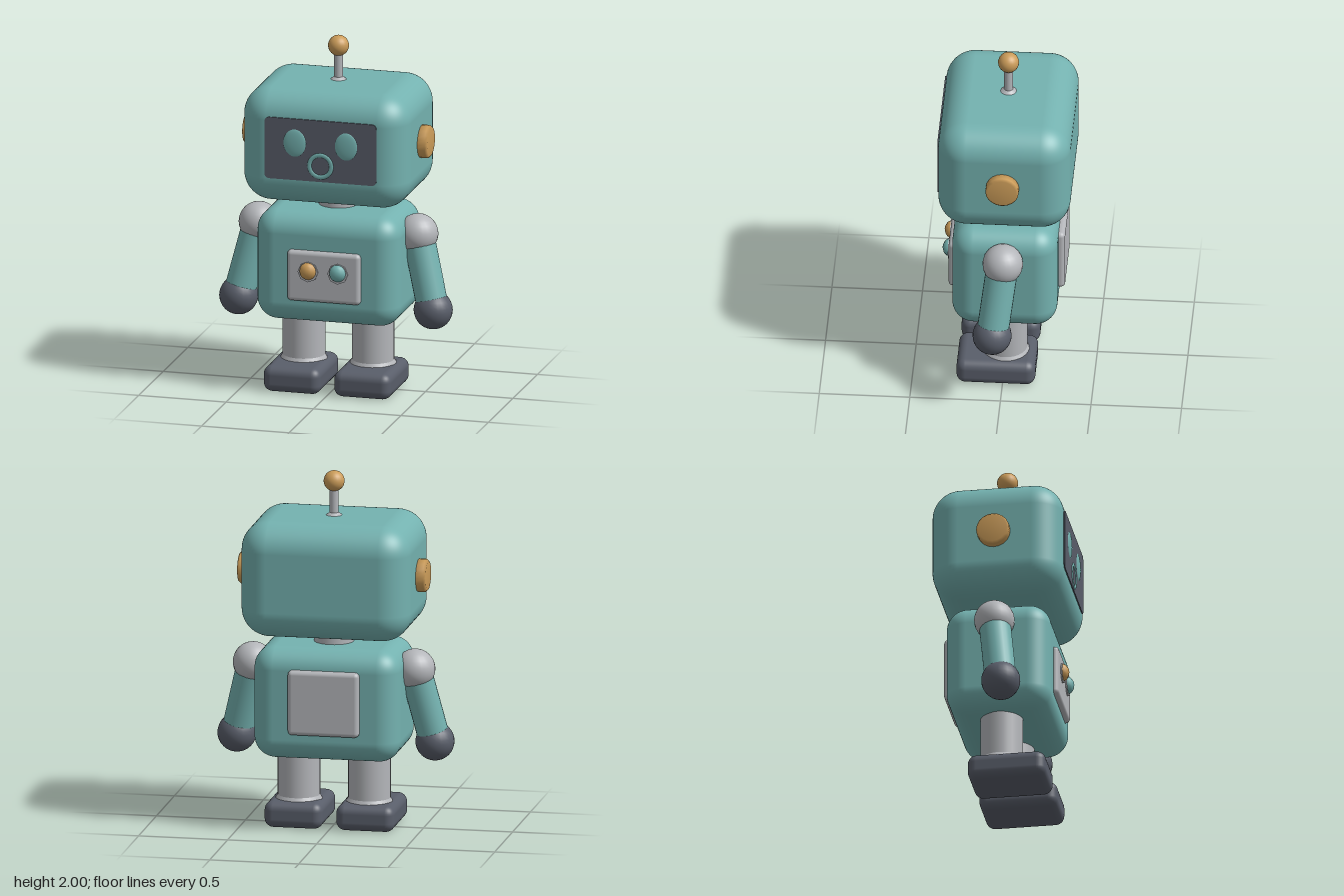
import * as THREE from 'three';
import { RoundedBoxGeometry } from 'three/addons/geometries/RoundedBoxGeometry.js';

const mat = (name, color) => Object.assign(new THREE.MeshStandardMaterial({ color }), { name });

export function createModel() {
  const teal = mat('teal shell', 0x74b2b0);
  const grey = mat('light grey', 0xb4b6ba);
  const dark = mat('dark slate', 0x595e6a);
  const gold = mat('gold', 0xcb9c59);

  const robot = new THREE.Group();
  robot.name = 'robot';
  const add = (name, geometry, material, x, y, z) => {
    const mesh = new THREE.Mesh(geometry, material);
    mesh.name = name;
    mesh.position.set(x, y, z);
    robot.add(mesh);
    return mesh;
  };
  // Rounded box given by its limits on each axis
  const block = (name, material, [x0, x1], [y0, y1], [z0, z1], r, seg = 6) =>
    add(name, new RoundedBoxGeometry(x1 - x0, y1 - y0, z1 - z0, seg, r), material,
      (x0 + x1) / 2, (y0 + y1) / 2, (z0 + z1) / 2);
  const ball = (name, material, r, x, y, z) =>
    add(name, new THREE.SphereGeometry(r, 24, 16), material, x, y, z);
  const tube = (name, material, r0, r1, y0, y1, x, z) =>
    add(name, new THREE.CylinderGeometry(r1, r0, y1 - y0, 28), material, x, (y0 + y1) / 2, z);
  const axisZ = -0.01;

  // Head, torso and neck
  block('head', teal, [-0.475, 0.475], [1.1, 1.75], [-0.375, 0.355], 0.16, 8);
  block('torso', teal, [-0.41, 0.41], [0.41, 1.04], [-0.3, 0.28], 0.12, 8);
  tube('neck', grey, 0.11, 0.11, 1.0, 1.14, 0, axisZ);

  // Face screen
  const w = 0.32, h = 0.175, r = 0.03;
  const s = new THREE.Shape();
  s.moveTo(-w + r, -h);
  s.lineTo(w - r, -h).quadraticCurveTo(w, -h, w, -h + r);
  s.lineTo(w, h - r).quadraticCurveTo(w, h, w - r, h);
  s.lineTo(-w + r, h).quadraticCurveTo(-w, h, -w, h - r);
  s.lineTo(-w, -h + r).quadraticCurveTo(-w, -h, -w + r, -h);
  add('faceScreen', new THREE.ExtrudeGeometry(s, { depth: 0.009, bevelEnabled: false }),
    dark, 0, 1.435, 0.352);

  // Ring mouth
  add('mouth', new THREE.TorusGeometry(0.063, 0.014, 8, 24), teal, 0, 1.35, 0.358).scale.z = 0.6;

  // Antenna
  tube('antennaBase', grey, 0.05, 0.025, 1.745, 1.765, 0, axisZ);
  tube('antennaRod', grey, 0.025, 0.025, 1.74, 1.92, 0, axisZ);
  ball('antennaBall', gold, 0.058, 0, 1.942, axisZ);

  // Chest and back panels
  block('chestPanel', grey, [-0.21, 0.21], [0.55, 0.84], [0.23, 0.308], 0.025, 3);
  block('backPanel', grey, [-0.2, 0.2], [0.565, 0.93], [-0.335, -0.25], 0.025, 3);

  // Chest knobs
  for (const [name, material, x] of [['rightKnob', gold, -0.085], ['leftKnob', teal, 0.085]]) {
    add(name + 'Rim', new THREE.CylinderGeometry(0.058, 0.058, 0.012, 8), grey, x, 0.725, 0.31)
      .rotation.x = Math.PI / 2;
    add(name, new THREE.SphereGeometry(0.05, 12, 8), material, x, 0.73, 0.306).scale.z = 0.85;
  }

  // Mirrored parts
  for (const [side, k] of [['left', 1], ['right', -1]]) {
    const eye = ball(side + 'Eye', teal, 1, k * 0.147, 1.472, 0.358);
    eye.scale.set(0.066, 0.08, 0.013);

    // Ear disc with a bevelled rim
    const profile = [[0, -0.05], [0.092, -0.05], [0.092, 0.032], [0.08, 0.045], [0, 0.045]]
      .map(([a, b]) => new THREE.Vector2(a, b));
    add(side + 'Ear', new THREE.LatheGeometry(profile, 20), gold, k * 0.484, 1.43, axisZ)
      .rotation.z = -k * Math.PI / 2;

    // Arm from shoulder to hand
    const shoulder = new THREE.Vector3(k * 0.455, 0.9, axisZ);
    const hand = new THREE.Vector3(k * 0.556, 0.485, 0.042);
    ball(side + 'Shoulder', grey, 0.112, ...shoulder.toArray());
    ball(side + 'Hand', dark, 0.108, ...hand.toArray());
    const dir = hand.clone().sub(shoulder);
    const mid = shoulder.clone().lerp(hand, 0.5);
    add(side + 'Arm', new THREE.CylinderGeometry(0.088, 0.088, dir.length(), 24), teal, ...mid.toArray())
      .quaternion.setFromUnitVectors(new THREE.Vector3(0, -1, 0), dir.normalize());

    // Leg and foot
    tube(side + 'Leg', grey, 0.118, 0.118, 0.1, 0.46, k * 0.198, axisZ);
    tube(side + 'Ankle', grey, 0.132, 0.118, 0.14, 0.165, k * 0.198, axisZ);
    const foot = k > 0 ? [0.038, 0.365] : [-0.365, -0.038];
    block(side + 'Foot', dark, foot, [0, 0.147], [-0.18, 0.255], 0.05, 4);
  }
  return robot;
}
